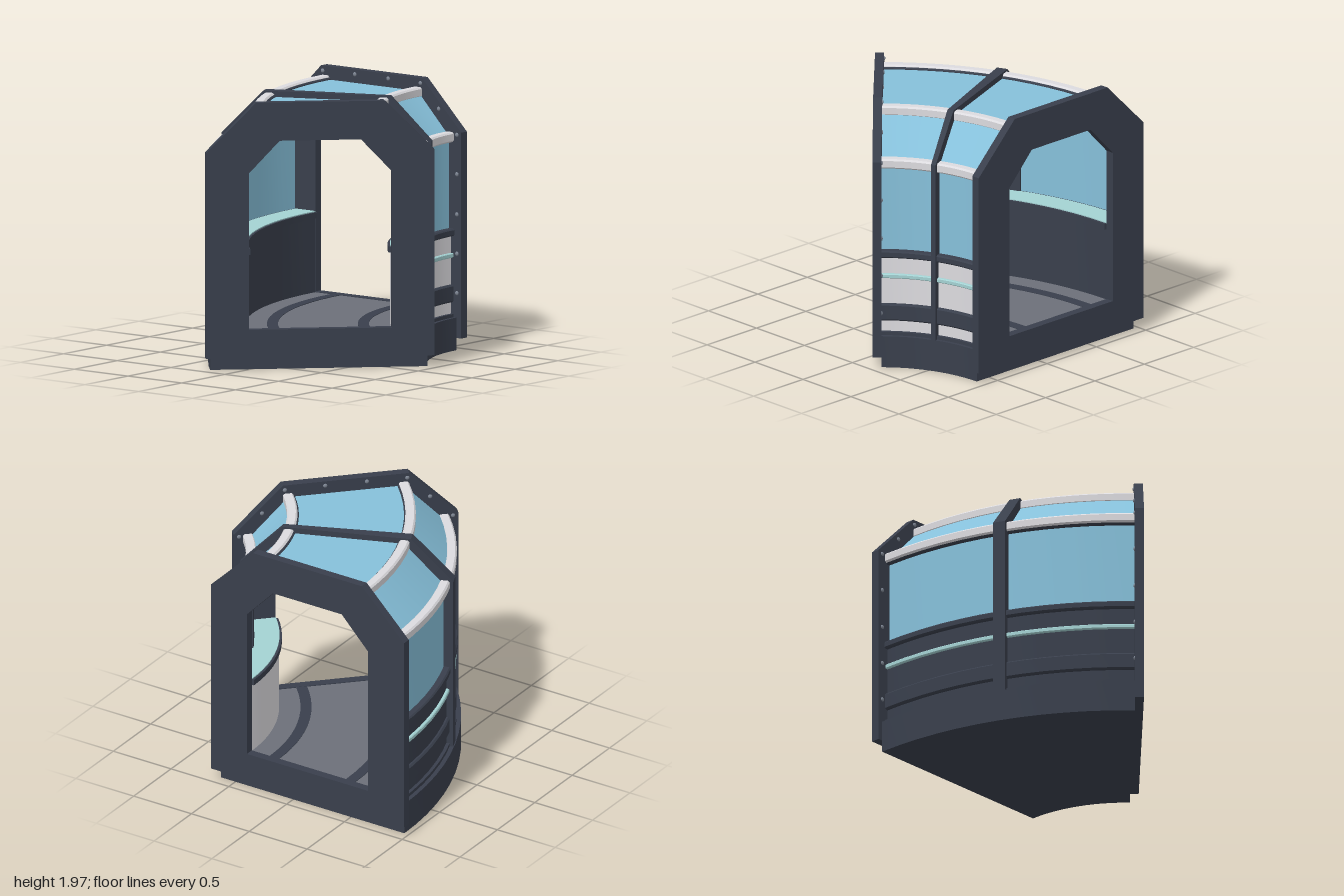
import * as THREE from 'three';

const CX = 1.61, CZ = -0.912;      // centre of the bend
const MID = 1.775;                 // radius of the corridor's centre line
const BEND = Math.PI / 4;

const mat = (name, color, extra = {}) => {
  const m = new THREE.MeshStandardMaterial({ color, ...extra });
  m.name = name;
  return m;
};

// Sweeps a closed (offset from centre line, height) profile around the bend.
function sweep(points, a0 = 0, a1 = BEND, segments = 12) {
  let p = points.map(([u, y]) => new THREE.Vector2(MID + u, y));
  if (THREE.ShapeUtils.area(p) < 0) p = p.reverse();
  const pos = [], idx = [];
  const put = (v, a) => pos.push(-v.x * Math.cos(a), v.y, v.x * Math.sin(a)) / 3 - 1;
  p.forEach((v, i) => {
    const w = p[(i + 1) % p.length];
    for (let s = 0; s <= segments; s++) {
      const a = a0 + (a1 - a0) * s / segments;
      const k = put(v, a);
      put(w, a);
      if (s < segments) idx.push(k, k + 2, k + 1, k + 2, k + 3, k + 1);
    }
  });
  const faces = THREE.ShapeUtils.triangulateShape(p, []);
  [a0, a1].forEach((a, end) => {
    const base = pos.length / 3;
    p.forEach(v => put(v, a));
    faces.forEach(([i, j, k]) => idx.push(base + i, base + (end ? k : j), base + (end ? j : k)));
  });
  const g = new THREE.BufferGeometry();
  g.setAttribute('position', new THREE.Float32BufferAttribute(pos, 3));
  g.setIndex(idx);
  g.computeVertexNormals();
  return g;
}

const rect = (u0, u1, y0, y1) => [[u0, y0], [u1, y0], [u1, y1], [u0, y1]];

// Rectangle with cut corners
const bar = (u, y, w, h, c) => [
  [u - w + c, y - h], [u + w - c, y - h], [u + w, y - h + c], [u + w, y + h - c],
  [u + w - c, y + h], [u - w + c, y + h], [u - w, y + h - c], [u - w, y - h + c]];

// Closed band between two chamfered arches
const arch = (w, t, y0, y1, y2) => [[w, y0], [w, y1], [t, y2], [-t, y2], [-w, y1], [-w, y0]];
const band = (outer, inner) => [...outer, ...inner.slice().reverse()];

export function createModel() {
  const dark = mat('darkMetal', 0x393f4c);
  const white = mat('whitePanel', 0xdcdbdf);
  const glass = mat('blueGlass', 0x86c0da, { side: THREE.DoubleSide });
  const teal = mat('paleTeal', 0xa4d2d3);
  const grey = mat('floorGrey', 0x6c7079);
  const steel = mat('rivetSteel', 0x7c8491);

  const model = new THREE.Group();
  model.name = 'curvedCorridor';
  const bend = new THREE.Group();
  bend.name = 'bend';
  bend.position.set(CX, 0, CZ);
  model.add(bend);

  const add = (name, geometry, material, parent = bend) => {
    const m = new THREE.Mesh(geometry, material);
    m.name = name;
    parent.add(m);
    return m;
  };

  // Plinth, floor and floor stripes
  add('base', sweep(rect(-0.79, 0.797, 0, 0.24)), dark);
  add('floor', sweep(rect(-0.53, 0.53, 0.235, 0.294)), grey);
  for (const u of [-0.33, 0.33])
    add('floorStripe', sweep(rect(u - 0.04, u + 0.04, 0.29, 0.298)), dark);

  // Lower walls with their mouldings and counters, outer side then inner side
  for (const s of [1, -1]) {
    const side = s > 0 ? 'outer' : 'inner';
    const wall = s > 0 ? dark : white;
    const strip = (name, u0, u1, y0, y1, m) =>
      add(side + name, sweep(rect(s * u0, s * u1, y0, y1)), m);
    strip('Wall', 0.525, 0.74, 0.235, 0.845, wall);
    strip('Sill', 0.7, 0.765, 0.235, 0.265, dark);
    add(side + 'Bumper', sweep(bar(s * 0.735, 0.415, 0.03, 0.065, 0.012)), dark);
    add(side + 'TrimLine', sweep(bar(s * 0.74, 0.695, 0.022, 0.017, 0.006)), teal);
    strip('Counter', 0.505, 0.7, 0.84, 0.885, dark);
    strip('CounterTop', 0.522, 0.705, 0.88, 0.892, teal);
    add(side + 'WindowSill', sweep(bar(s * 0.735, 0.865, 0.038, 0.027, 0.01)), dark);

    // Longitudinal roof rails, dark inner half and white outer half
    for (const [u, y, name] of [[0.728, 1.565, 'LowerRail'], [0.43, 1.865, 'UpperRail']]) {
      add(side + name, sweep(bar(s * u, y, 0.038, 0.037, 0.012)), white);
      if (s > 0 || name === 'UpperRail')
        add(side + name + 'Backing', sweep(bar(s * (u - 0.012), y - 0.012, 0.036, 0.035, 0.01)), dark);
    }
  }

  // Glazed canopy
  add('glassCanopy', sweep(band(
    arch(0.72, 0.43, 0.87, 1.57, 1.872), arch(0.711, 0.426, 0.87, 1.566, 1.863))), glass);

  // Wedge-shaped middle rib
  const half = 0.0185;
  add('middleRib', sweep(band(
    arch(0.79, 0.475, 0.24, 1.595, 1.915), arch(0.695, 0.42, 0.24, 1.55, 1.835)),
  BEND / 2 - half, BEND / 2 + half, 2), dark);

  // End portals: chamfered frame with a chamfered doorway
  const outline = arch(0.835, 0.47, 0.09, 1.605, 1.97).map(q => new THREE.Vector2(...q));
  const doorway = arch(0.523, 0.297, 0.3, 1.45, 1.688).map(q => new THREE.Vector2(...q));
  const shape = new THREE.Shape(outline);
  shape.holes.push(new THREE.Path(doorway));
  const frame = new THREE.ExtrudeGeometry(shape, { depth: 0.066, bevelEnabled: false });
  const rivet = new THREE.SphereGeometry(0.016, 10, 8);
  const spots = [[0.795, 0.42], [0.795, 0.71], [0.795, 1], [0.795, 1.295], [0.795, 1.585],
    [0.625, 1.76], [0.455, 1.932], [0.155, 1.935]];

  for (const [name, angle, dir] of [['backPortal', 0, -1], ['frontPortal', BEND, 1]]) {
    const portal = new THREE.Group();
    portal.name = name;
    portal.rotation.y = angle;
    bend.add(portal);
    add(name + 'Frame', frame, dark, portal).position.set(-MID, 0, dir < 0 ? -0.066 : 0);
    for (const [u, y] of spots)
      for (const s of [1, -1]) {
        const r = add('rivet', rivet, steel, portal);
        r.position.set(-MID + s * u, y, 0);
        r.scale.z = 0.6;
      }
  }
  return model;
}
